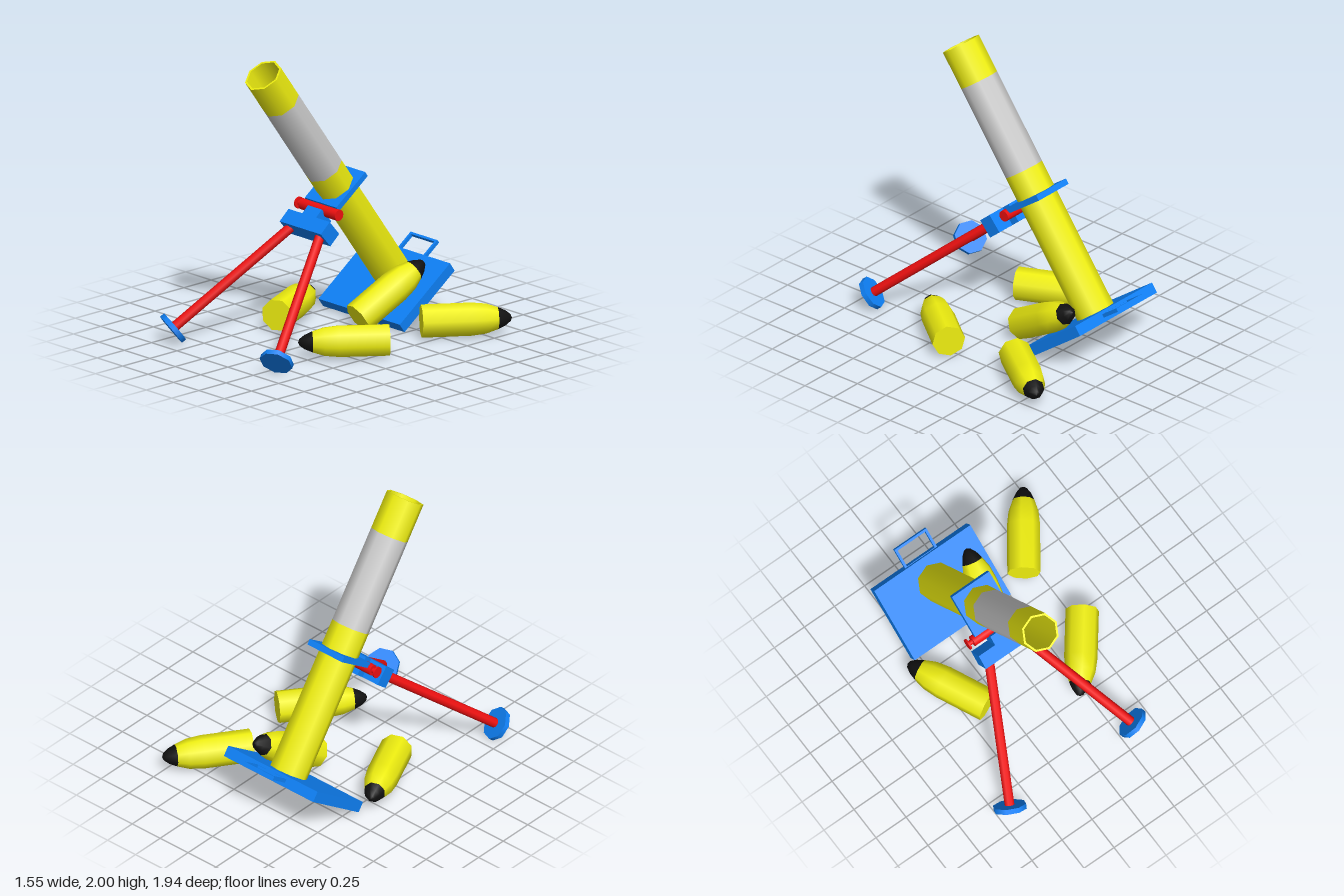
import * as THREE from 'three';

const mat = (color, side = THREE.FrontSide) => new THREE.MeshStandardMaterial({ color, side });
const yellow = mat(0xeeee10), blue = mat(0x0e80f5), red = mat(0xee1010), black = mat(0x111111), grey = mat(0xcccccc);
const yellowInside = mat(0xeeee10, THREE.BackSide);
const SIDES = 8, UP = new THREE.Vector3(0, 1, 0);

function add(parent, name, geometry, material, x = 0, y = 0, z = 0) {
  const mesh = new THREE.Mesh(geometry, material);
  mesh.name = name;
  mesh.position.set(x, y, z);
  parent.add(mesh);
  return mesh;
}

function group(parent, name, x, y, z, tilt = 0) {
  const g = new THREE.Group();
  g.name = name;
  g.position.set(x, y, z);
  g.rotation.x = tilt;
  parent.add(g);
  return g;
}

// Flat rectangular plate with a hole, lying in XZ and centred on y = 0
function plateWithHole(w, d, thickness, holePoints) {
  const shape = new THREE.Shape([[-1, -1], [1, -1], [1, 1], [-1, 1]].map(([a, b]) => new THREE.Vector2(a * w / 2, b * d / 2)));
  shape.holes.push(new THREE.Path(holePoints));
  return new THREE.ExtrudeGeometry(shape, { depth: thickness, bevelEnabled: false })
    .translate(0, 0, -thickness / 2).rotateX(-Math.PI / 2);
}

const lathe = (points) => new THREE.LatheGeometry(points.map(([r, y]) => new THREE.Vector2(r, y)), SIDES);

// Shell with its base centre at one point, pointing toward another
function addShell(parent, base, tip) {
  const shell = group(parent, 'shell', ...base);
  const axis = new THREE.Vector3(...tip).sub(shell.position).normalize();
  shell.quaternion.setFromUnitVectors(UP, axis);
  add(shell, 'shellBody', lathe([[0.113, 0], [0.113, 0.34], [0.102, 0.44], [0.075, 0.52]]), yellow);
  add(shell, 'shellNose', lathe([[0.075, 0.52], [0.052, 0.57], [0.024, 0.605], [0, 0.615]]), black);
  add(shell, 'shellBase', new THREE.CircleGeometry(0.113, SIDES).rotateX(Math.PI / 2), yellow);
}

export function createModel() {
  const model = new THREE.Group();
  model.name = 'mortar';
  const cx = -0.155;

  // Barrel: three bands, open bore, octagonal rim
  const barrel = group(model, 'barrelAssembly', cx, 0.29, -0.655, 0.627);
  const R = 0.135, bore = 0.12, length = 2.02;
  const bands = [['lowerBarrel', 0, 1.073, yellow], ['barrelSleeve', 1.073, 1.746, grey], ['upperBarrel', 1.746, length, yellow]];
  for (const [name, from, to, material] of bands) {
    add(barrel, name, new THREE.CylinderGeometry(R, R, to - from, SIDES, 1, true), material, 0, (from + to) / 2);
  }
  add(barrel, 'bore', new THREE.CylinderGeometry(bore, bore, length, SIDES, 1, true), yellowInside, 0, length / 2);
  add(barrel, 'muzzleRim', new THREE.RingGeometry(bore, R, SIDES).rotateX(-Math.PI / 2), yellow, 0, length);
  add(barrel, 'boreFloor', new THREE.CircleGeometry(bore, SIDES).rotateX(-Math.PI / 2), yellow, 0, 0.01);

  // Base plate with its carrying handle
  add(barrel, 'basePlate', new THREE.BoxGeometry(0.8, 0.075, 0.57), blue, 0, -0.0375, 0.088);
  const opening = [[-0.115, -0.065], [-0.115, 0.065], [0.115, 0.065], [0.115, -0.065]].map((p) => new THREE.Vector2(...p));
  add(barrel, 'handle', plateWithHole(0.265, 0.165, 0.025, opening), blue, 0, -0.034, -0.267);

  // Clamp plate around the barrel
  const ring = Array.from({ length: SIDES }, (_, i) => {
    const a = -i * 2 * Math.PI / SIDES;
    return new THREE.Vector2(0.134 * Math.cos(a), 0.134 * Math.sin(a));
  });
  add(barrel, 'clampPlate', plateWithHole(0.31, 0.33, 0.04, ring), blue, 0, 0.873, 0);

  // Hinge pin with end knob
  const hinge = group(model, 'hinge', 0, 0.867, 0);
  const pin = (name, r, x0, x1) =>
    add(hinge, name, new THREE.CylinderGeometry(r, r, x1 - x0, 12).rotateZ(Math.PI / 2), red, (x0 + x1) / 2);
  pin('hingePin', 0.039, -0.335, 0.026);
  pin('knobStem', 0.018, -0.368, -0.33);
  pin('knob', 0.041, -0.376, -0.364);

  // Bipod head, tilted along the legs
  const head = group(model, 'bipodHead', cx, 0.867, 0, -0.863);
  add(head, 'headBlock', new THREE.BoxGeometry(0.405, 0.108, 0.135), blue, 0, -0.147, -0.012);
  add(head, 'headTongue', new THREE.BoxGeometry(0.135, 0.075, 0.135), blue, 0, -0.0605, -0.012);

  // Two splayed legs with disc feet
  for (const side of [-1, 1]) {
    const top = new THREE.Vector3(cx + side * 0.137, 0.75, 0.13);
    const foot = new THREE.Vector3(cx + side * 0.51, 0.105, 0.882);
    const leg = group(model, side > 0 ? 'leftLeg' : 'rightLeg', ...foot.toArray());
    const axis = top.clone().sub(foot);
    const span = axis.length();
    leg.quaternion.setFromUnitVectors(UP, axis.normalize());
    add(leg, 'legTube', new THREE.CylinderGeometry(0.034, 0.034, span, SIDES), red, 0, span / 2);
    add(leg, 'foot', new THREE.CylinderGeometry(0.115, 0.115, 0.035, SIDES), blue);
  }

  // Shells lying on the ground, one leaning on the base plate
  addShell(model, [0.395, 0.12, -0.41], [0.75, 0.12, -0.905]);
  addShell(model, [0.555, 0.12, 0.035], [0.195, 0.12, 0.5]);
  addShell(model, [-0.36, 0.12, 0.21], [-0.615, 0.12, -0.34]);
  addShell(model, [0.035, 0.11, -0.165], [0.12, 0.41, -0.68]);

  return model;
}
